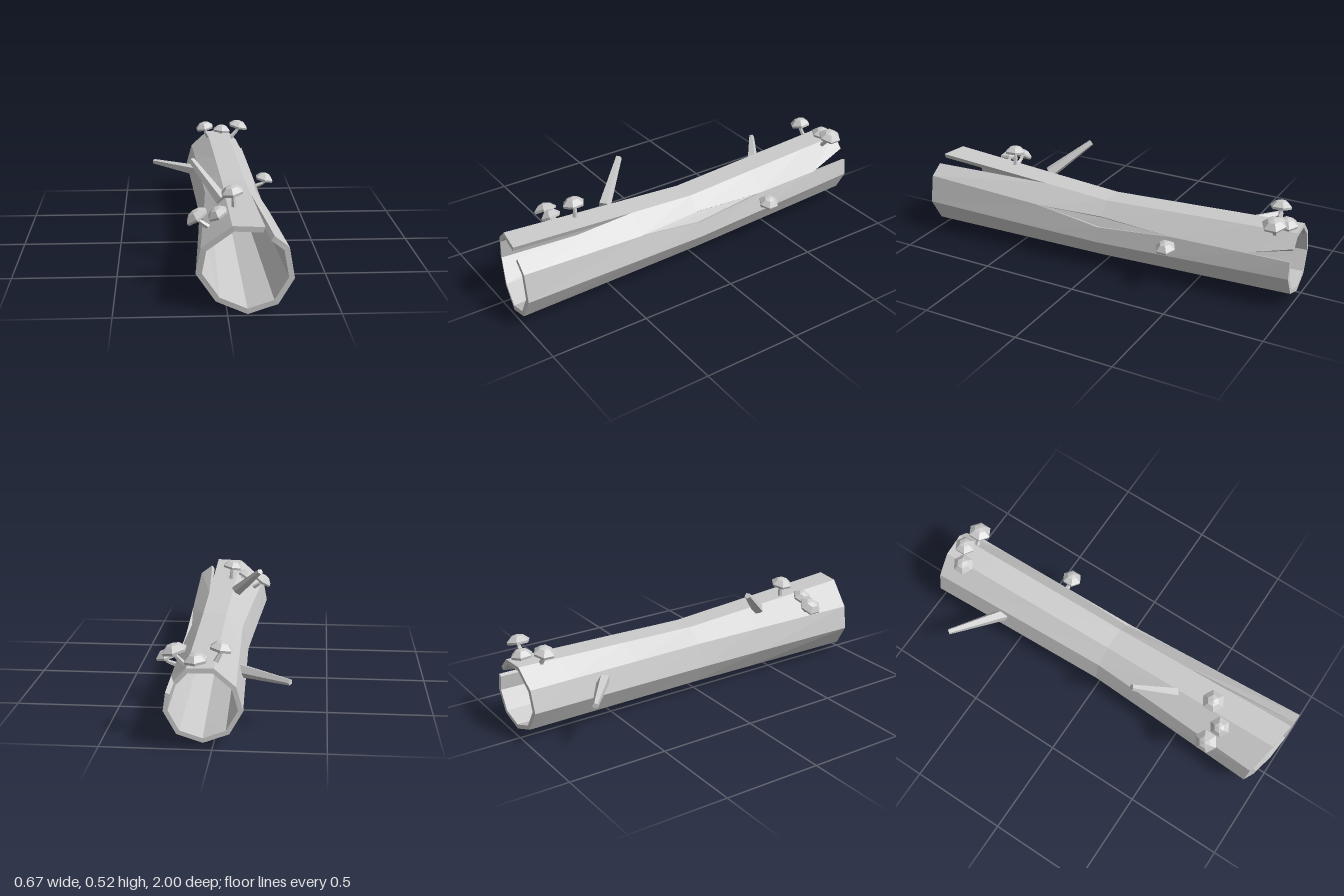
import * as THREE from 'three';

const material = new THREE.MeshStandardMaterial({ color: 0xcccccc, flatShading: true, side: THREE.DoubleSide });

// Log cross-sections [x, y], clockwise from the right seam, round the underside, to the top seam
const FRONT = [[.265, .31], [.29, .17], [.22, .05], [.088, 0], [-.05, .05], [-.137, .17], [-.115, .29], [.02, .4], [.16, .4]];
const MIDDLE = [[.225, .25], [.25, .145], [.19, .05], [.085, .01], [-.035, .05], [-.09, .15], [-.06, .27], [.025, .335], [.145, .335]];
const BACK = [[.2, .26], [.212, .175], [.155, .07], [.04, .03], [-.075, .07], [-.135, .175], [-.105, .285], [-.01, .37], [.11, .37]];
const STATIONS = [1, .35, 0, -.4, -.77, -1];

function section(z) {
  const end = z > 0 ? FRONT : BACK, t = Math.abs(z);
  return MIDDLE.map(([x, y], i) => [x + (end[i][0] - x) * t, y + (end[i][1] - y) * t]);
}

// Gives a strip of outer points its wall thickness and its place along the log
function wallLoop(outer, ring, z) {
  const n = ring.length;
  const cx = ring.reduce((s, p) => s + p[0], 0) / n;
  const cy = ring.reduce((s, p) => s + p[1], 0) / n;
  const inner = outer.map(([x, y]) => [x + (cx - x) * .125, y + (cy - y) * .125]).reverse();
  return [...outer, ...inner].map(([x, y]) => {
    const k = Math.max(0, (.29 - x) / .43) ** 2;       // ragged, slanting ends
    const shift = z === 1 ? -.07 * k : z === -1 ? .025 * k : 0;
    return [x, y, z + shift];
  });
}

// Skins closed loops from front to back and closes both end rims
function loft(loops) {
  const pos = [], n = loops[0].length, last = loops.length - 1;
  const quad = (a, b, c, d) => pos.push(...a, ...b, ...d, ...b, ...c, ...d);
  for (let i = 0; i < last; i++) {
    for (let j = 0; j < n; j++) {
      const k = (j + 1) % n;
      quad(loops[i][j], loops[i][k], loops[i + 1][k], loops[i + 1][j]);
    }
  }
  for (let j = 0; j < n / 2 - 1; j++) {
    const f = loops[0], b = loops[last], m = n - 1 - j;
    quad(f[j], f[m], f[m - 1], f[j + 1]);
    quad(b[j], b[j + 1], b[m - 1], b[m]);
  }
  const g = new THREE.BufferGeometry();
  g.setAttribute('position', new THREE.Float32BufferAttribute(pos, 3));
  g.computeVertexNormals();
  return g;
}

function addMesh(parent, geometry, name) {
  const mesh = new THREE.Mesh(geometry, material);
  mesh.name = name;
  parent.add(mesh);
  return mesh;
}

// Tapered rod from a to b
function rod(parent, name, a, b, ra, rb, sides) {
  const from = new THREE.Vector3(...a), dir = new THREE.Vector3(...b).sub(from);
  const g = new THREE.CylinderGeometry(rb, ra, dir.length(), sides);
  g.translate(0, dir.length() / 2, 0);
  const mesh = addMesh(parent, g, name);
  mesh.quaternion.setFromUnitVectors(new THREE.Vector3(0, 1, 0), dir.normalize());
  mesh.position.copy(from);
}

// Mushroom with a bent stem and a six-sided cap leaning along `up`
function mushroom(parent, { base, cap, up, r = .055 }) {
  const group = new THREE.Group();
  group.name = 'mushroom';
  const axis = new THREE.Vector3(...up).normalize();
  const top = new THREE.Vector3(...cap);
  const bend = top.clone().addScaledVector(axis, -.03);
  rod(group, 'lowerStem', base, bend.toArray(), .013, .01, 5);
  rod(group, 'upperStem', bend.toArray(), top.clone().addScaledVector(axis, .01).toArray(), .01, .009, 5);
  const profile = [[0, .008], [r * .95, -.012], [r, 0], [r * .52, .024], [0, .032]];
  const g = new THREE.LatheGeometry(profile.map(p => new THREE.Vector2(...p)), 6);
  const mesh = addMesh(group, g, 'mushroomCap');
  mesh.quaternion.setFromUnitVectors(new THREE.Vector3(0, 1, 0), axis);
  mesh.position.copy(top);
  parent.add(group);
}

export function createModel() {
  const model = new THREE.Group();
  model.name = 'hollowLog';

  // Bark shell and the loose plank that closes it, leaving three cracks
  const shell = [], plank = [];
  for (const z of STATIONS) {
    const ring = section(z);
    const top = [...ring[8]], bottom = [...ring[0]];
    if (z === 1) { top[0] = .2; top[1] = .36; }
    if (z === 0) { bottom[0] = .205; bottom[1] = .27; ring[0] = [.235, .222]; }
    if (z === -1) { bottom[0] = .165; bottom[1] = .312; }
    shell.push(wallLoop(ring, ring, z));
    plank.push(wallLoop([top, bottom], ring, z));
  }
  addMesh(model, loft(shell), 'logShell');
  addMesh(model, loft(plank), 'splitPlank');

  // Broken branches
  rod(model, 'sideBranch', [-.07, .23, -.57], [-.33, .24, -.765], .034, .015, 5);
  rod(model, 'topBranch', [.005, .35, .42], [-.135, .505, .245], .032, .016, 5);

  // Mushrooms: front cluster, back cluster, one on the flank
  [
    { base: [-.07, .305, .69], cap: [-.125, .355, .68], up: [-.55, .8, 0], r: .06 },
    { base: [0, .36, .69], cap: [-.03, .373, .7], up: [-.45, .85, .1], r: .052 },
    { base: [.05, .37, .61], cap: [.042, .448, .61], up: [-.2, 1, .05], r: .057 },
    { base: [0, .35, -.87], cap: [-.03, .424, -.86], up: [-.2, 1, .05] },
    { base: [.08, .35, -.92], cap: [.075, .39, -.93], up: [.1, 1, -.05] },
    { base: [.12, .345, -.89], cap: [.172, .422, -.9], up: [.25, 1, 0], r: .06 },
    { base: [.23, .185, -.4], cap: [.285, .232, -.4], up: [.25, 1, 0], r: .052 },
  ].forEach(m => mushroom(model, m));

  return model;
}
